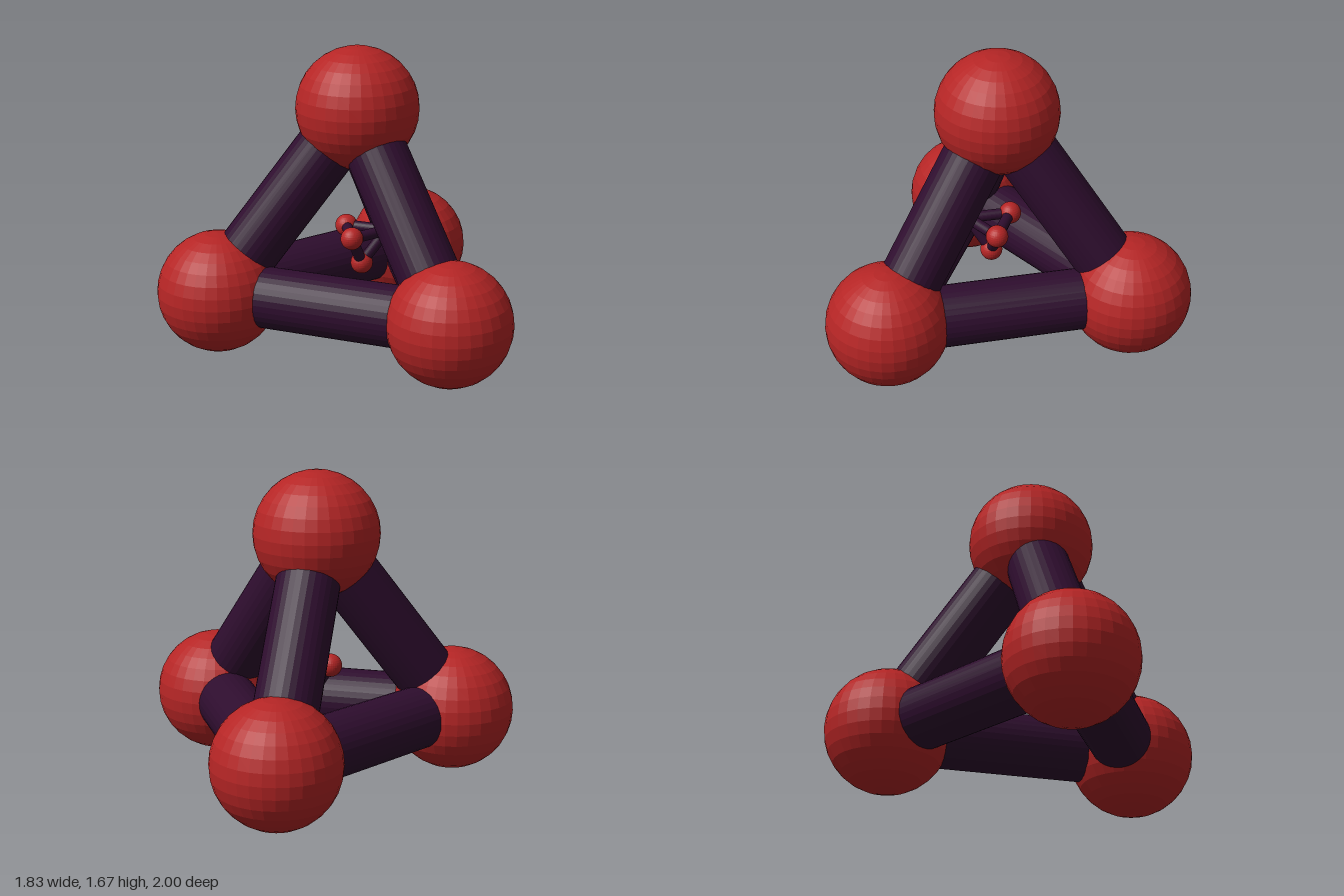
import * as THREE from 'three';

const red = new THREE.MeshStandardMaterial({ color: 0xb52525, flatShading: true });
red.name = 'red';
const purple = new THREE.MeshStandardMaterial({ color: 0x2e0d2e, flatShading: true });
purple.name = 'darkPurple';

// Ball-and-rod tetrahedron: a ball on every corner, a rod along every edge
function ballFrame(name, corners, ballRadius, rodRadius) {
  const frame = new THREE.Group();
  frame.name = name;
  const points = corners.map((c) => new THREE.Vector3(...c));
  const up = new THREE.Vector3(0, 1, 0);
  points.forEach((p, i) => {
    const ball = new THREE.Mesh(new THREE.SphereGeometry(ballRadius, 32, 16), red);
    ball.name = 'ball';
    ball.position.copy(p);
    frame.add(ball);
    for (const q of points.slice(i + 1)) {
      const axis = q.clone().sub(p);
      const rod = new THREE.Mesh(
        new THREE.CylinderGeometry(rodRadius, rodRadius, axis.length(), 32), purple);
      rod.name = 'rod';
      rod.position.copy(p).add(q).multiplyScalar(0.5);
      rod.quaternion.setFromUnitVectors(up, axis.normalize());
      frame.add(rod);
    }
  });
  return frame;
}

export function createModel() {
  const model = new THREE.Group();
  model.name = 'nestedTetrahedra';
  // Large outer frame, apex up
  model.add(ballFrame('outerFrame', [
    [0.58, 0.333, 0], [-0.58, 0.333, 0.667], [-0.58, 0.333, -0.667], [-0.197, 1.333, 0],
  ], 0.333, 0.167));
  // Small inner frame, apex down
  model.add(ballFrame('innerFrame', [
    [-0.303, 0.645, 0], [-0.095, 0.645, 0.12], [-0.095, 0.645, -0.12], [-0.165, 0.465, 0],
  ], 0.061, 0.03));
  return model;
}
